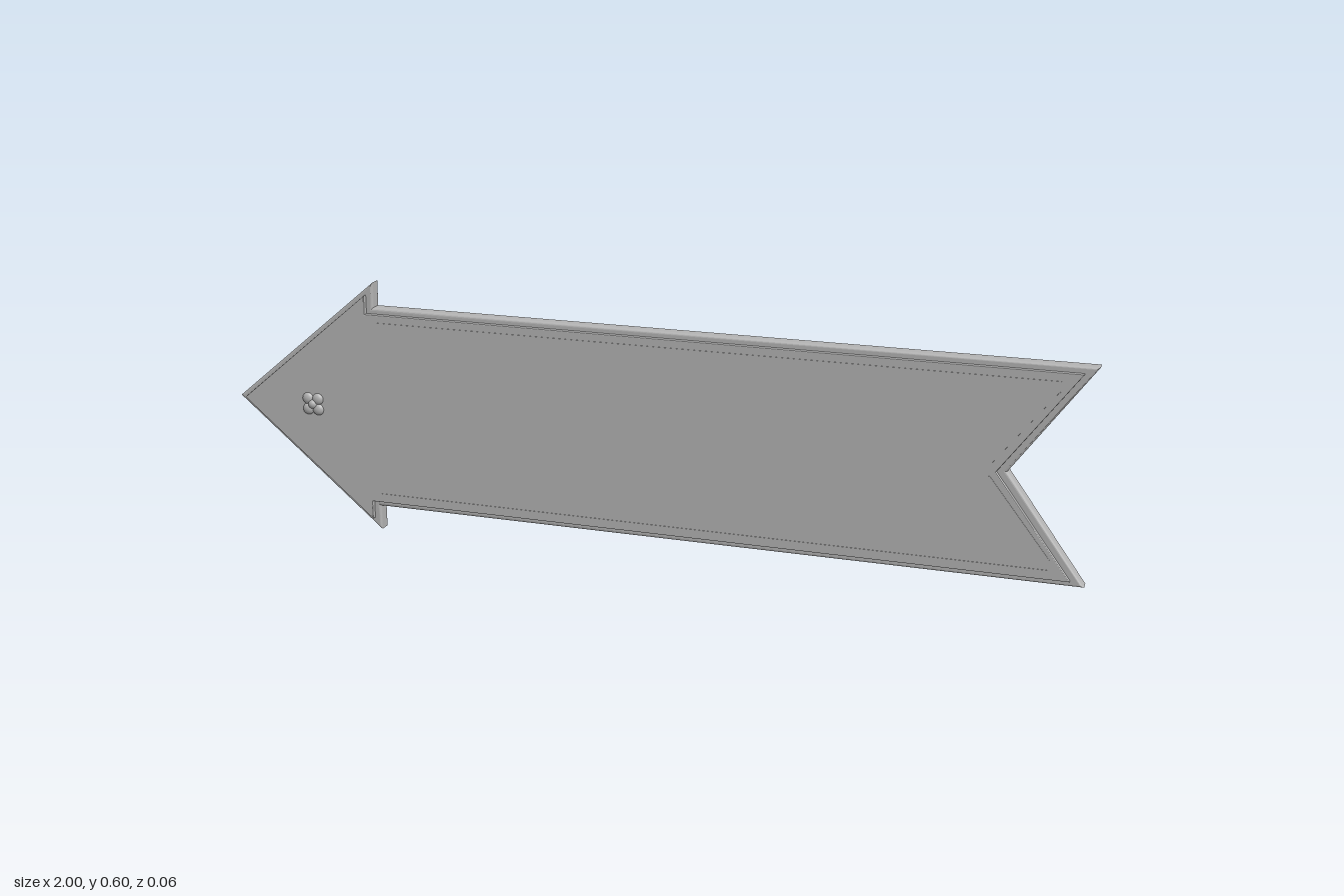
import * as THREE from 'three';

const MID = 0.301; // height of the arrow's centre line

// Arrow outline pointing to -x, mirrored about the centre line
function arrowShape(tip, shoulder, headHalf, shaftHalf, tail, notch) {
  const half = [[shoulder, headHalf], [shoulder, shaftHalf], [tail, shaftHalf]];
  const points = [
    [tip, 0],
    ...half.map(([x, y]) => [x, -y]),
    [notch, 0],
    ...half.reverse(),
  ];
  return new THREE.Shape(points.map(([x, y]) => new THREE.Vector2(x, y + MID)));
}

// Slab between two depths with rounded edges kept inside the outline
function slab(shape, back, front, bevel, segments) {
  const geometry = new THREE.ExtrudeGeometry(shape, {
    depth: front - back - 2 * bevel,
    bevelThickness: bevel, bevelSize: bevel, bevelOffset: -bevel, bevelSegments: segments,
  });
  return geometry.translate(0, 0, back + bevel);
}

export function createModel() {
  const group = new THREE.Group();
  const grey = new THREE.MeshStandardMaterial({ color: 0xb4b4b4 });
  const add = (name, geometry, parent = group) => {
    const mesh = new THREE.Mesh(geometry, grey);
    mesh.name = name;
    parent.add(mesh);
    return mesh;
  };

  // Thick backing board and the inset raised panel on its front
  add('board', slab(arrowShape(-1, -0.64, 0.301, 0.242, 1, 0.825), -0.028, 0.007, 0.007, 4));
  add('raisedPanel', slab(arrowShape(-0.981, -0.656, 0.272, 0.228, 0.97, 0.802), 0.004, 0.018, 0.002, 2));

  // Fine trim lines along the shaft and the notch, mirrored top and bottom
  for (const side of [1, -1]) {
    const trim = new THREE.Group();
    trim.name = side > 0 ? 'upperTrim' : 'lowerTrim';
    group.add(trim);
    const line = (name, x1, y1, x2, y2) => {
      const bar = add(name, new THREE.BoxGeometry(Math.hypot(x2 - x1, y2 - y1), 0.004, 0.002), trim);
      bar.position.set((x1 + x2) / 2, MID + side * (y1 + y2) / 2, 0.0182);
      bar.rotation.z = side * Math.atan2(y2 - y1, x2 - x1);
    };
    line('shaftTrim', -0.63, 0.208, 0.925, 0.208);
    line('notchTrim', 0.788, 0.01, 0.925, 0.186);
  }

  // Small four-petalled rosette near the tip
  const rosette = new THREE.Group();
  rosette.name = 'rosette';
  rosette.position.set(-0.8, MID, 0.018);
  group.add(rosette);
  for (let i = 0; i < 4; i++) {
    const angle = Math.PI / 4 + i * Math.PI / 2;
    const petal = add('petal', new THREE.SphereGeometry(0.014, 16, 12), rosette);
    petal.position.set(0.018 * Math.cos(angle), 0.018 * Math.sin(angle), 0);
    petal.scale.z = 0.6;
  }
  add('rosetteCentre', new THREE.SphereGeometry(0.012, 16, 12), rosette);

  return group;
}
